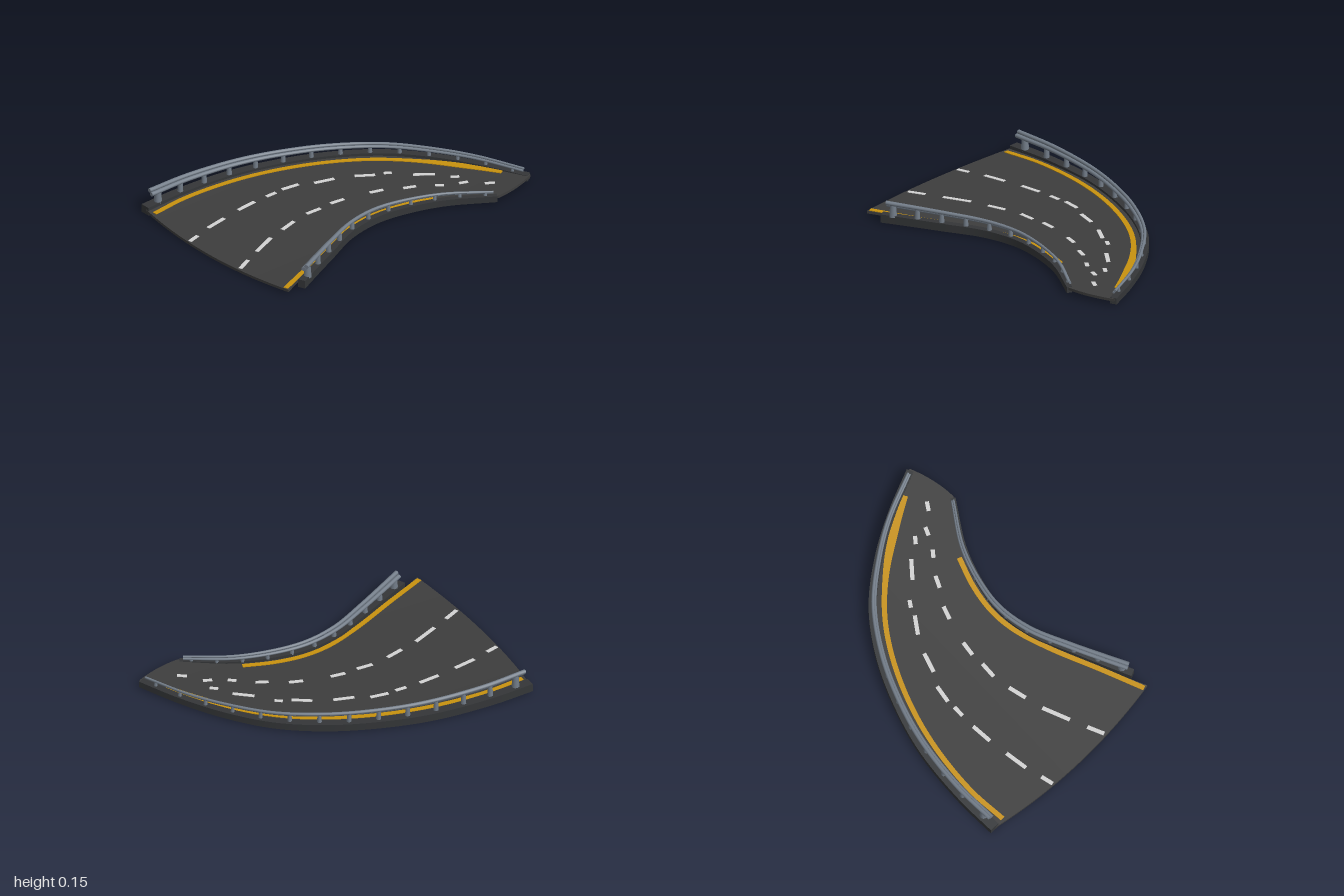
import * as THREE from 'three';

const mat = (name, color) => {
  const m = new THREE.MeshStandardMaterial({ color });
  m.name = name;
  return m;
};
const lerp = THREE.MathUtils.lerp;

// Smooth plan curve from [x, z] pairs, running from the front to the back.
const path = (pts) => new THREE.CatmullRomCurve3(pts.map(([x, z]) => new THREE.Vector3(x, 0, z)));

// Height of the road surface, slightly dished and rising to the back.
const roadY = (x, z) => 0.018 + 0.008 * (1 - z) + 0.04 * x * x;

// Remaps every vertex of a geometry by a rule.
function remap(geo, rule) {
  const p = geo.attributes.position;
  for (let i = 0; i < p.count; i++) p.setXYZ(i, ...rule(p.getX(i), p.getY(i), p.getZ(i)));
  geo.computeVertexNormals();
  return geo;
}

// Bends a unit-long geometry (z from .5 to -.5) along a curve; section gives [side offset, height].
function along(geo, curve, section) {
  return remap(geo, (x, y, z) => {
    const t = THREE.MathUtils.clamp(0.5 - z, 0, 1);
    const p = curve.getPointAt(t), d = curve.getTangentAt(t);
    const [side, height] = section(x, y, t, p);
    return [p.x - d.z * side, height, p.z + d.x * side];
  });
}

export function createModel() {
  const asphalt = mat('asphalt', 0x3d3d3d);
  const kerb = mat('dark kerb', 0x343638);
  const steel = mat('rail steel', 0x727c88);
  const yellow = mat('yellow paint', 0xc8920f);
  const white = mat('white paint', 0xd2d2d2);

  const model = new THREE.Group();
  model.name = 'curvedRoad';
  const add = (name, geo, material, parent = model) => {
    const mesh = new THREE.Mesh(geo, material);
    mesh.name = name;
    parent.add(mesh);
    return mesh;
  };

  // Road slab between its two edges, with a bowed front end
  const outerEdge = path([[-0.61, 0.965], [-0.63, 0.7], [-0.605, 0.35], [-0.53, 0.05], [-0.405, -0.25],
    [-0.24, -0.5], [0, -0.71], [0.25, -0.87], [0.5, -0.995]]);
  const innerEdge = path([[0.635, 0.905], [0.57, 0.77], [0.47, 0.55], [0.38, 0.36], [0.325, 0.18],
    [0.31, 0], [0.335, -0.2], [0.41, -0.43], [0.575, -0.7]]);
  add('roadSlab', remap(new THREE.BoxGeometry(1, 1, 1, 30, 1, 60), (x, y, z) => {
    const s = x + 0.5, t = 0.5 - z, bow = 4 * s * (1 - s);
    const a = outerEdge.getPointAt(t), b = innerEdge.getPointAt(t);
    const px = lerp(a.x, b.x, s) + 0.015 * bow * t ** 3;
    const pz = lerp(a.z, b.z, s) + 0.055 * bow * (1 - t) ** 3;
    return [px, roadY(px, pz) - (y > 0 ? 0 : 0.016), pz];
  }), asphalt);

  // Thin painted strip lying on the road
  const strip = (name, curve, width, material, lift, n) => add(name,
    along(new THREE.BoxGeometry(1, 1, 1, 1, 1, n), curve, (x, y, t, p) =>
      [x * width(t), roadY(p.x, p.z) + lift + y * 0.004]), material);

  // Yellow edge lines
  strip('outerEdgeLine', path([[-0.53, 0.955], [-0.553, 0.7], [-0.525, 0.35], [-0.45, 0.05], [-0.335, -0.22],
    [-0.2, -0.43], [0, -0.635], [0.2, -0.785], [0.37, -0.89]]),
  (t) => 0.03 + 0.02 * Math.exp(-(((t - 0.88) / 0.1) ** 2)), yellow, 0.002, 60);
  strip('innerEdgeLine', path([[0.61, 0.905], [0.5, 0.65], [0.365, 0.35], [0.29, 0.13], [0.272, -0.04],
    [0.295, -0.22], [0.35, -0.4]]), () => 0.03, yellow, 0.002, 40);

  // White lane dashes [x, z, x, z], showing on the top and the underside
  const lanes = {
    outerLane: [[-0.17, 0.985, -0.19, 0.91], [-0.22, 0.81, -0.245, 0.67], [-0.265, 0.55, -0.278, 0.42],
      [-0.28, 0.33, -0.28, 0.26], [-0.285, 0.21, -0.27, 0.1], [-0.225, 0.02, -0.19, -0.1],
      [-0.14, -0.21, -0.075, -0.31], [-0.06, -0.36, -0.035, -0.4], [0.06, -0.48, 0.14, -0.58],
      [0.22, -0.63, 0.25, -0.67]],
    innerLane: [[0.255, 0.955, 0.21, 0.86], [0.165, 0.76, 0.095, 0.6], [0.065, 0.49, 0.035, 0.38],
      [0.015, 0.27, 0.018, 0.17], [0.012, 0.09, 0.022, 0], [0.06, -0.16, 0.085, -0.24],
      [0.145, -0.34, 0.175, -0.41], [0.24, -0.5, 0.27, -0.54], [0.31, -0.62, 0.33, -0.67],
      [0.41, -0.73, 0.44, -0.78]],
  };
  for (const [lane, dashes] of Object.entries(lanes)) {
    for (const [x0, z0, x1, z1] of dashes) {
      const line = new THREE.LineCurve3(new THREE.Vector3(x0, 0, z0), new THREE.Vector3(x1, 0, z1));
      strip(lane + 'Dash', line, () => 0.024, white, 0.001, 4);
      strip(lane + 'DashUnderside', line, () => 0.024, white, -0.017, 4);
    }
  }

  // Kerb with a double-tube guard rail on posts; inward is the side towards the road
  function barrier(name, kerbPath, kerbWidth, railPath, inward, front, back, posts) {
    const group = new THREE.Group();
    group.name = name;
    model.add(group);
    add('kerb', along(new THREE.BoxGeometry(1, 1, 1, 1, 1, 60), kerbPath, (x, y, t) =>
      [x * lerp(kerbWidth, kerbWidth * 0.7, t), y > 0 ? lerp(0.052, 0.046, t) : lerp(0.001, 0.008, t)]),
    kerb, group);

    const centre = (t) => lerp(front[0], back[0], t), half = (t) => lerp(front[1], back[1], t);
    for (const side of [-1, 1]) {
      const tube = new THREE.CylinderGeometry(1, 1, 1, 12, 60).rotateX(Math.PI / 2);
      add(side < 0 ? 'lowerRail' : 'upperRail', along(tube, railPath, (x, y, t) => {
        const h = half(t);
        return [-side * inward * h * 0.4 + x * h * 0.6, centre(t) + h * (side * 0.42 + y * 0.58)];
      }), steel, group);
    }

    for (let i = 0; i < posts; i++) {
      const t = lerp(0.025, 0.97, i / (posts - 1));
      const p = railPath.getPointAt(t), d = railPath.getTangentAt(t);
      const w = lerp(0.014, 0.008, t) * (i === 0 ? 1.3 : 1), height = centre(t) - 0.042;
      const post = add('post', new THREE.CylinderGeometry(w, w * 1.35, height, 8), steel, group);
      post.position.set(p.x, 0.042 + height / 2, p.z);
      post.rotation.y = Math.atan2(d.x, d.z);
    }
  }

  barrier('outerBarrier',
    path([[-0.603, 0.967], [-0.615, 0.7], [-0.59, 0.34], [-0.515, 0.04], [-0.395, -0.25],
      [-0.225, -0.505], [0.005, -0.71], [0.25, -0.865], [0.495, -0.985]]), 0.06,
    path([[-0.6, 0.93], [-0.61, 0.65], [-0.575, 0.3], [-0.5, 0.02], [-0.39, -0.24],
      [-0.22, -0.5], [0, -0.7], [0.2, -0.837], [0.47, -0.968]]),
    1, [0.13, 0.022], [0.072, 0.012], 14);
  barrier('innerBarrier',
    path([[0.62, 0.795], [0.535, 0.62], [0.46, 0.46], [0.35, 0.22], [0.312, 0],
      [0.335, -0.2], [0.41, -0.43], [0.565, -0.695]]), 0.045,
    path([[0.612, 0.765], [0.535, 0.615], [0.45, 0.445], [0.345, 0.21], [0.306, 0],
      [0.327, -0.2], [0.4, -0.43], [0.55, -0.68]]),
    -1, [0.118, 0.022], [0.064, 0.011], 11);

  return model;
}
